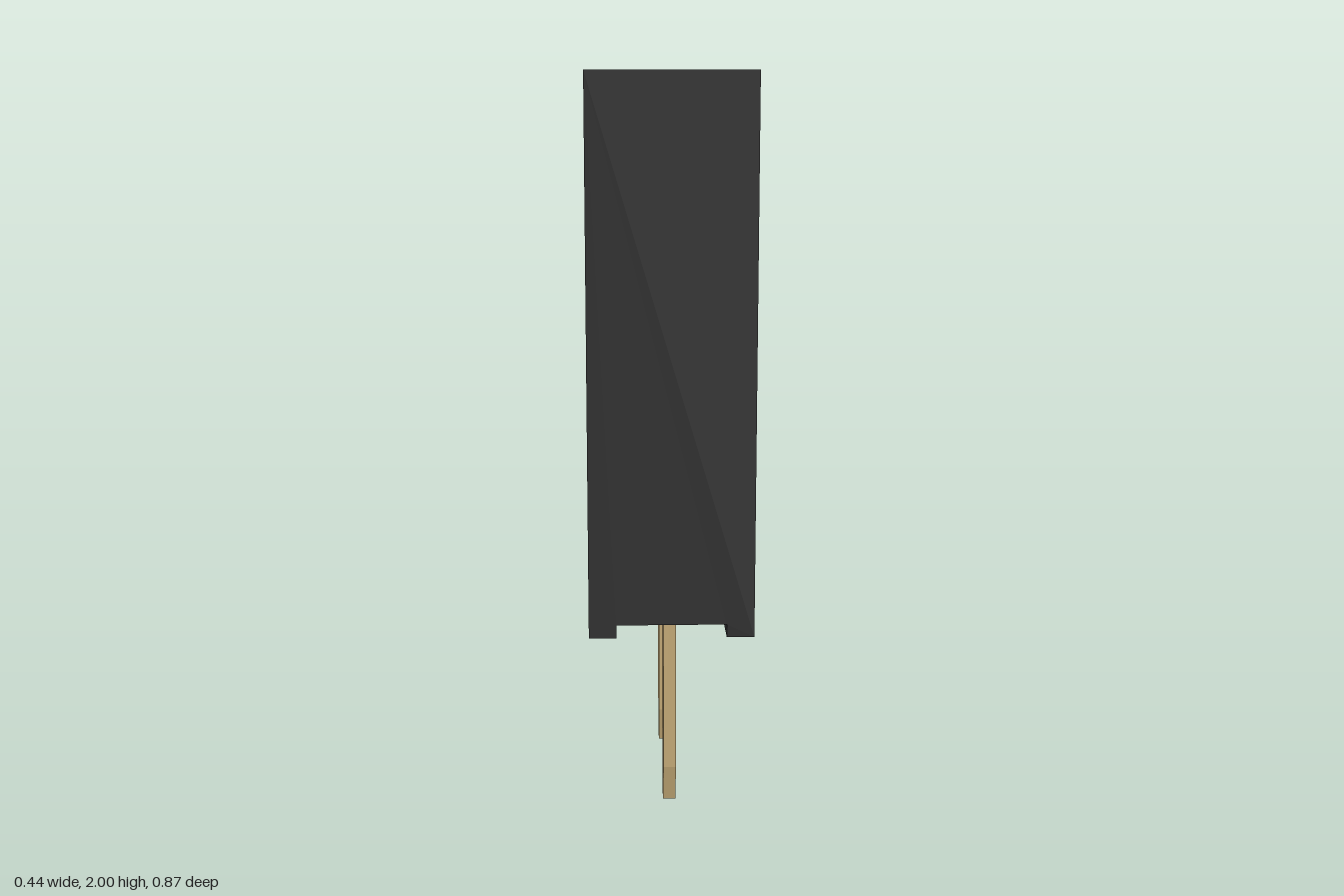
import * as THREE from 'three';

const W = 0.218, D = 0.436;            // half width (x) and half depth (z)
const BOTTOM = 0.54, RECESS = 0.575, TOP = 2;
const PITCH = 0.218;                   // sockets and pins sit at z = +-PITCH
const MOUTH = 0.103, BORE = 0.052;     // half sizes of the socket opening and bore
const BORE_TOP = 1.94, BORE_FLOOR = 0.8;

const plastic = new THREE.MeshStandardMaterial({ color: 0x2b2b2b, flatShading: true });
const brass = new THREE.MeshStandardMaterial({ color: 0xc0a674, flatShading: true });

// Flat-shaded geometry from a list of four-cornered faces
function quads(faces) {
  const pos = [];
  for (const [a, b, c, d] of faces) pos.push(...a, ...b, ...c, ...a, ...c, ...d);
  const geo = new THREE.BufferGeometry();
  geo.setAttribute('position', new THREE.Float32BufferAttribute(pos, 3));
  geo.computeVertexNormals();
  return geo;
}

const square = (h, y, z) => [[-h, y, z - h], [-h, y, z + h], [h, y, z + h], [h, y, z - h]];
const shapeOf = (pts) => new THREE.Shape(pts.map(([x, y]) => new THREE.Vector2(x, y)));

function add(group, name, geo, material) {
  const mesh = new THREE.Mesh(geo, material);
  mesh.name = name;
  group.add(mesh);
  return mesh;
}

function makeHousing() {
  const housing = new THREE.Group();
  housing.name = 'housing';

  // End profile: two feet with a shallow channel between them
  const profile = [
    [-W, TOP], [-W, BOTTOM], [-0.145, BOTTOM], [-0.145, RECESS],
    [0.145, RECESS], [0.145, BOTTOM], [W, BOTTOM], [W, TOP],
  ];
  for (const [name, turn, z] of [['frontEnd', 0, D], ['backEnd', Math.PI, -D]]) {
    const geo = new THREE.ShapeGeometry(shapeOf(profile)).rotateY(turn).translate(0, 0, z);
    add(housing, name, geo, plastic);
  }

  // Side walls, feet and channel, swept along z
  const walls = profile.slice(1).map(([bx, by], i) => {
    const [ax, ay] = profile[i];
    return [[ax, ay, D], [ax, ay, -D], [bx, by, -D], [bx, by, D]];
  });
  add(housing, 'sidesAndUnderside', quads(walls), plastic);

  // Top face with the two socket openings
  const top = shapeOf([[-W, -D], [W, -D], [W, D], [-W, D]]);
  for (const z of [-PITCH, PITCH]) {
    top.holes.push(new THREE.Path(
      square(MOUTH, 0, z).map(([x, , v]) => new THREE.Vector2(x, v))));
  }
  add(housing, 'topFace', new THREE.ShapeGeometry(top).rotateX(-Math.PI / 2).translate(0, TOP, 0), plastic);

  // Sockets: tapered lead-in, straight bore and floor
  for (const z of [-PITCH, PITCH]) {
    const rings = [square(MOUTH, TOP, z), square(BORE, BORE_TOP, z), square(BORE, BORE_FLOOR, z)];
    const faces = [rings[2]];
    for (let r = 0; r < 2; r++) {
      for (let i = 0; i < 4; i++) {
        const j = (i + 1) % 4;
        faces.push([rings[r][i], rings[r][j], rings[r + 1][j], rings[r + 1][i]]);
      }
    }
    add(housing, z > 0 ? 'frontSocket' : 'backSocket', quads(faces), plastic);
  }
  return housing;
}

// Flat blade pin with a tapered tip and slightly chamfered upper end
function makePinGeometry() {
  const t = 0.035;
  const outline = shapeOf([
    [-0.027, 0], [0.027, 0], [0.052, 0.105], [0.052, 1.07],
    [0.043, 1.1], [-0.043, 1.1], [-0.052, 1.07], [-0.052, 0.105],
  ]);
  return new THREE.ExtrudeGeometry(outline, { depth: t, bevelEnabled: false })
    .translate(0, 0, -t / 2)
    .rotateY(Math.PI / 2);
}

export function createModel() {
  const model = new THREE.Group();
  model.name = 'pinSocketHeader';
  model.add(makeHousing());

  const pin = makePinGeometry();
  for (const z of [-PITCH, PITCH]) {
    add(model, z > 0 ? 'frontPin' : 'backPin', pin, brass).position.z = z;
  }
  return model;
}
